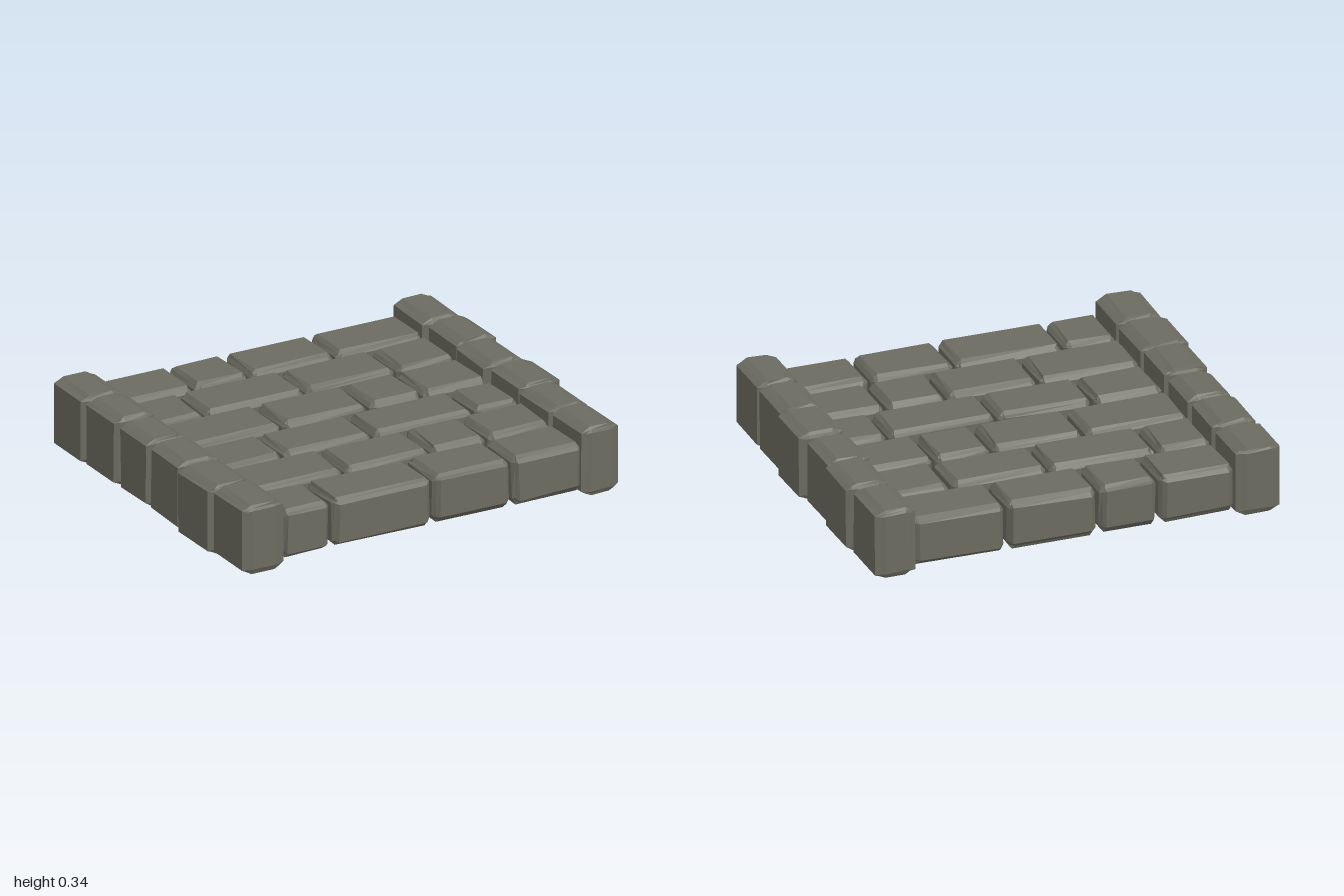
import * as THREE from 'three';

const material = new THREE.MeshStandardMaterial({ color: 0x6b6b60, flatShading: true });

let seed = 7;
function rand() {
  seed = (seed * 16807) % 2147483647;
  return (seed / 2147483647) * 2 - 1;
}

// Hewn block: bevelled box whose bevel lines wander a little while its faces stay flat
function hewnBlock(name, min, max, bevel, wobble) {
  const geometry = new THREE.BoxGeometry(1, 1, 1, 3, 3, 3);
  const pos = geometry.attributes.position;
  const offsets = {};
  for (let i = 0; i < pos.count; i++) {
    const cell = [0, 1, 2].map(a => Math.round((pos.getComponent(i, a) + 0.5) * 3));
    const isOuter = cell.map(c => c === 0 || c === 3);
    const outer = isOuter.filter(Boolean).length;
    const pull = [0, 0, 0.5, 0.667][outer];
    // the same corner gets the same wobble on every face it belongs to
    const jitter = (offsets[cell.join()] ??= [rand(), rand(), rand()]);
    for (let a = 0; a < 3; a++) {
      const inset = isOuter[a] ? bevel[a] * pull : bevel[a] + wobble * jitter[a];
      const half = (max[a] - min[a]) / 2;
      const side = cell[a] < 2 ? -1 : 1;
      pos.setComponent(i, a, side * (half - inset));
    }
  }
  geometry.computeVertexNormals();
  const mesh = new THREE.Mesh(geometry, material);
  mesh.name = name;
  mesh.position.set(...[0, 1, 2].map(a => (min[a] + max[a]) / 2));
  mesh.rotation.y = rand() * 0.01;
  return mesh;
}

export function createModel() {
  const model = new THREE.Group();
  model.name = 'stonePath';

  // Paving rows: z range, then the x position of each joint between stones
  const rows = [
    { z: [-0.86, -0.59], joints: [-0.395, -0.105, 0.338] },
    { z: [-0.573, -0.307], joints: [-0.5, 0.02, 0.492] },
    { z: [-0.295, -0.02], joints: [-0.263, 0.183, 0.462] },
    { z: [0.007, 0.268], joints: [-0.425, 0.04, 0.565] },
    { z: [0.283, 0.555], joints: [-0.273, 0.172, 0.465] },
    { z: [0.57, 0.84], joints: [-0.505, 0.018, 0.427] }
  ];
  const paving = new THREE.Group();
  paving.name = 'paving';
  const gap = 0.008;
  for (const { z, joints } of rows) {
    const ends = [-0.768, ...joints, 0.8];
    for (let i = 0; i < 4; i++) {
      paving.add(hewnBlock('pavingStone',
        [ends[i] + gap, 0.032, z[0]], [ends[i + 1] - gap, 0.268, z[1]],
        [0.025, 0.03, 0.03], 0.008));
    }
  }

  // Taller kerb stones along both sides: x range and z range of each
  const kerbs = {
    leftKerb: [
      [0.78, 0.975, -0.86, -0.575], [0.79, 0.995, -0.56, -0.285],
      [0.775, 0.975, -0.287, -0.02], [0.785, 0.998, 0.008, 0.28],
      [0.775, 0.975, 0.285, 0.565], [0.78, 0.975, 0.57, 0.85]
    ],
    rightKerb: [
      [-0.985, -0.77, -0.855, -0.585], [-0.98, -0.77, -0.57, -0.295],
      [-0.975, -0.77, -0.27, -0.02], [-0.98, -0.77, 0.01, 0.28],
      [-0.998, -0.765, 0.29, 0.575], [-0.98, -0.765, 0.577, 0.86]
    ]
  };
  for (const [name, stones] of Object.entries(kerbs)) {
    const kerb = new THREE.Group();
    kerb.name = name;
    stones.forEach(([x0, x1, z0, z1], i) => {
      const lift = (i % 2) * 0.004;
      kerb.add(hewnBlock('kerbStone', [x0, lift, z0], [x1, 0.336 + lift, z1],
        [0.05, 0.025, 0.014], 0.005));
    });
    model.add(kerb);
  }
  model.add(paving);
  return model;
}
